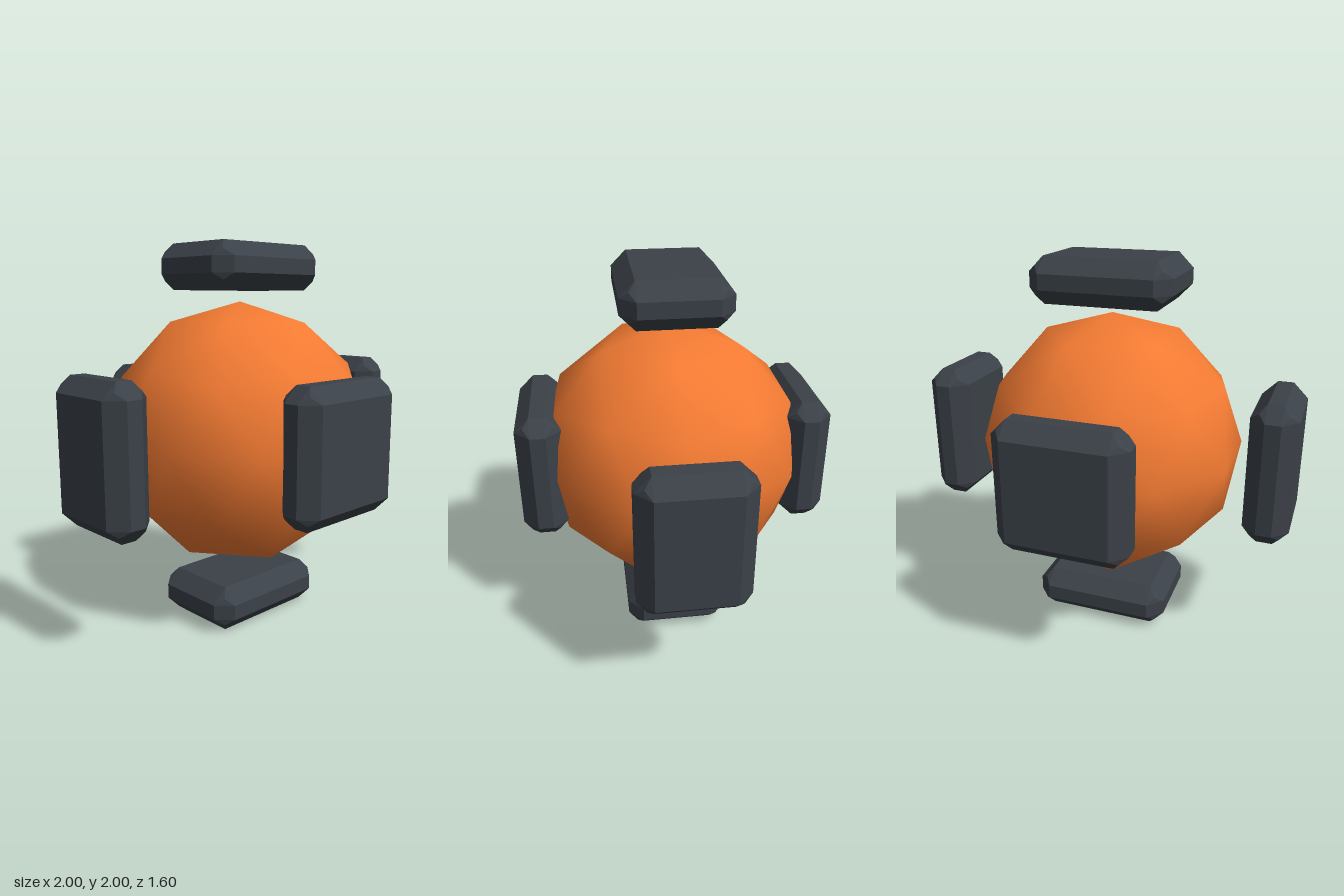
import * as THREE from 'three';
import { ConvexGeometry } from 'three/addons/geometries/ConvexGeometry.js';

const CHAMFER = 0.078;

// Box with chamfered edges and slightly raised, faceted corners
function chamferedBox(w, h, d) {
  const c = CHAMFER;
  const points = [];
  for (const sx of [-1, 1]) for (const sy of [-1, 1]) for (const sz of [-1, 1]) {
    // share of the chamfer kept along each axis
    for (const [a, b, e] of [[1, 0, 0], [0, 1, 0], [0, 0, 1], [0.42, 0.42, 0.42]]) {
      points.push(new THREE.Vector3(
        sx * (w / 2 - c + a * c),
        sy * (h / 2 - c + b * c),
        sz * (d / 2 - c + e * c)
      ));
    }
  }
  return new ConvexGeometry(points);
}

export function createModel() {
  const model = new THREE.Group();
  model.name = 'platedSphere';

  const orange = new THREE.MeshStandardMaterial({ color: 0xf47b33 });
  const slate = new THREE.MeshStandardMaterial({ color: 0x3b4148, flatShading: true });

  // Core: smooth icosphere standing on one of its points
  const coreGeometry = new THREE.IcosahedronGeometry(0.707, 1);
  coreGeometry.rotateZ(-Math.atan(2 / (1 + Math.sqrt(5))));
  const core = new THREE.Mesh(coreGeometry, orange);
  core.name = 'core';
  core.position.y = 1;
  model.add(core);

  // Plates: one opposed pair on each axis
  const pairs = [
    { names: ['topPlate', 'bottomPlate'], size: [0.74, 0.235, 0.54], offset: [0, 0.8825, 0] },
    { names: ['leftPlate', 'rightPlate'], size: [0.235, 0.74, 0.54], offset: [0.8825, 0, 0] },
    { names: ['frontPlate', 'backPlate'], size: [0.68, 0.68, 0.235], offset: [0, 0, 0.6825] },
  ];
  for (const { names, size, offset } of pairs) {
    const geometry = chamferedBox(...size);
    names.forEach((name, i) => {
      const plate = new THREE.Mesh(geometry, slate);
      plate.name = name;
      plate.position.set(...offset).multiplyScalar(i === 0 ? 1 : -1);
      plate.position.y += 1;
      model.add(plate);
    });
  }

  return model;
}
